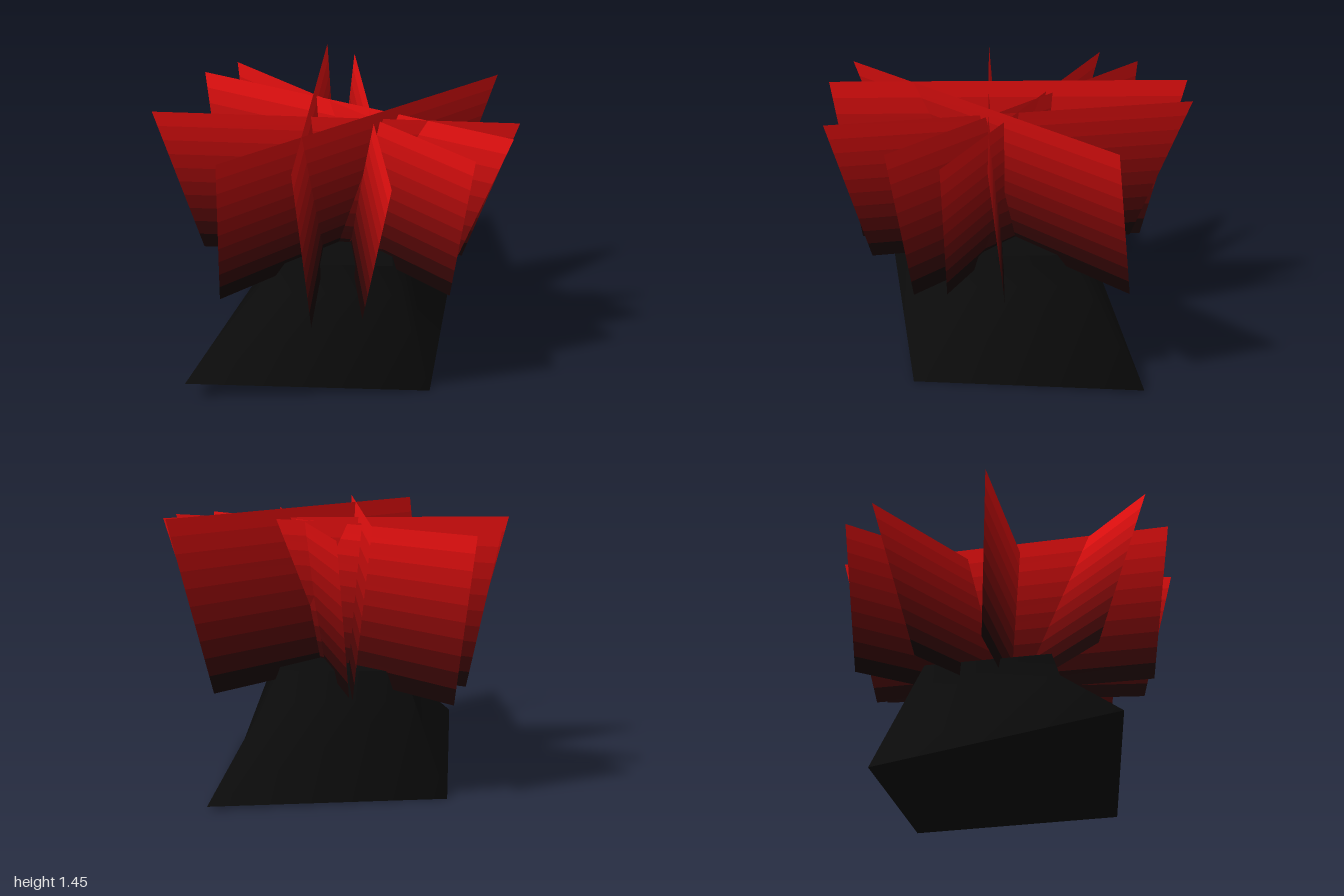
import * as THREE from 'three';
import { mergeVertices } from 'three/addons/utils/BufferGeometryUtils.js';

const BANDS = 10;

// Geometry from quads given as four corners, counter-clockwise from outside
function quadGeometry(quads) {
  const pos = [];
  for (const [a, b, c, d] of quads) {
    for (const p of [a, b, c, a, c, d]) pos.push(...p);
  }
  const geometry = new THREE.BufferGeometry();
  geometry.setAttribute('position', new THREE.Float32BufferAttribute(pos, 3));
  return geometry;
}

function addMesh(parent, name, geometry, material) {
  geometry.computeVertexNormals();
  const mesh = new THREE.Mesh(geometry, material);
  mesh.name = name;
  parent.add(mesh);
}

const mix = (a, b, t) => a.map((v, i) => v + (b[i] - v) * t);

// Tapering diamond base: rings of corners in the order left, front, right, back
function createBase() {
  const rings = [
    [[0.785, 0, -0.05], [0.02, 0.11, 1], [-0.765, 0, -0.05], [0.02, 0.02, -1]],
    [[0.54, 0.48, -0.05], [0.02, 0.48, 0.5], [-0.54, 0.48, -0.05], [0.02, 0.48, -0.58]],
    [[0.47, 0.63, -0.05], [0.02, 0.63, 0.43], [-0.47, 0.63, -0.05], [0.02, 0.63, -0.48]],
  ];
  const sides = [];
  for (let r = 0; r < 2; r++) {
    for (let i = 0; i < 4; i++) {
      const j = (i + 1) % 4;
      sides.push([rings[r][j], rings[r][i], rings[r + 1][i], rings[r + 1][j]]);
    }
  }
  const base = new THREE.Group();
  base.name = 'base';
  const material = new THREE.MeshStandardMaterial({ color: 0x0b0b0b });
  addMesh(base, 'baseSides', mergeVertices(quadGeometry(sides)), material);
  addMesh(base, 'baseBottom', quadGeometry([rings[0]]), material);
  addMesh(base, 'baseTop', quadGeometry([[...rings[2]].reverse()]), material);
  return base;
}

// Leaning blades, each with corners: bottom start, bottom end, top end, top start
const BLADES = [
  [[0.06, 0.56, 0.78], [0.06, 0.58, -0.9], [0.3, 1.44, -0.98], [0.3, 1.44, 0.925]],
  [[-0.84, 0.525, -0.11], [0.82, 0.58, -0.125], [0.95, 1.38, -0.11], [-0.955, 1.38, -0.105]],
  [[-0.67, 0.53, 0.22], [0.69, 0.57, -0.23], [0.9, 1.39, -0.435], [-0.92, 1.385, 0.15]],
  [[-0.47, 0.57, -0.48], [0.69, 0.57, 0.36], [0.915, 1.375, 0.4], [-0.62, 1.385, -0.73]],
  [[-0.52, 0.57, -0.51], [0.57, 0.56, 0.59], [0.615, 1.445, 0.735], [-0.73, 1.445, -0.61]],
  [[-0.46, 0.565, 0.52], [0.55, 0.57, -0.5], [0.78, 1.39, -0.62], [-0.57, 1.39, 0.725]],
];

export function createModel() {
  const group = new THREE.Group();
  group.name = 'bladePlant';
  group.add(createBase());

  // Bands darken from red tips to black roots
  const dark = new THREE.Color(0x080404);
  const red = new THREE.Color(0xf01010);
  const materials = Array.from({ length: BANDS }, (_, i) => new THREE.MeshStandardMaterial({
    color: dark.clone().lerp(red, ((i + 0.5) / BANDS) ** 1.7),
    side: THREE.DoubleSide,
    flatShading: true,
  }));

  BLADES.forEach(([b0, b1, t1, t0], n) => {
    const blade = new THREE.Group();
    blade.name = `blade${n + 1}`;
    materials.forEach((material, i) => {
      const lo = i / BANDS, hi = (i + 1) / BANDS;
      const quad = [mix(b0, t0, lo), mix(b1, t1, lo), mix(b1, t1, hi), mix(b0, t0, hi)];
      addMesh(blade, `bladeBand${i + 1}`, quadGeometry([quad]), material);
    });
    group.add(blade);
  });
  return group;
}
